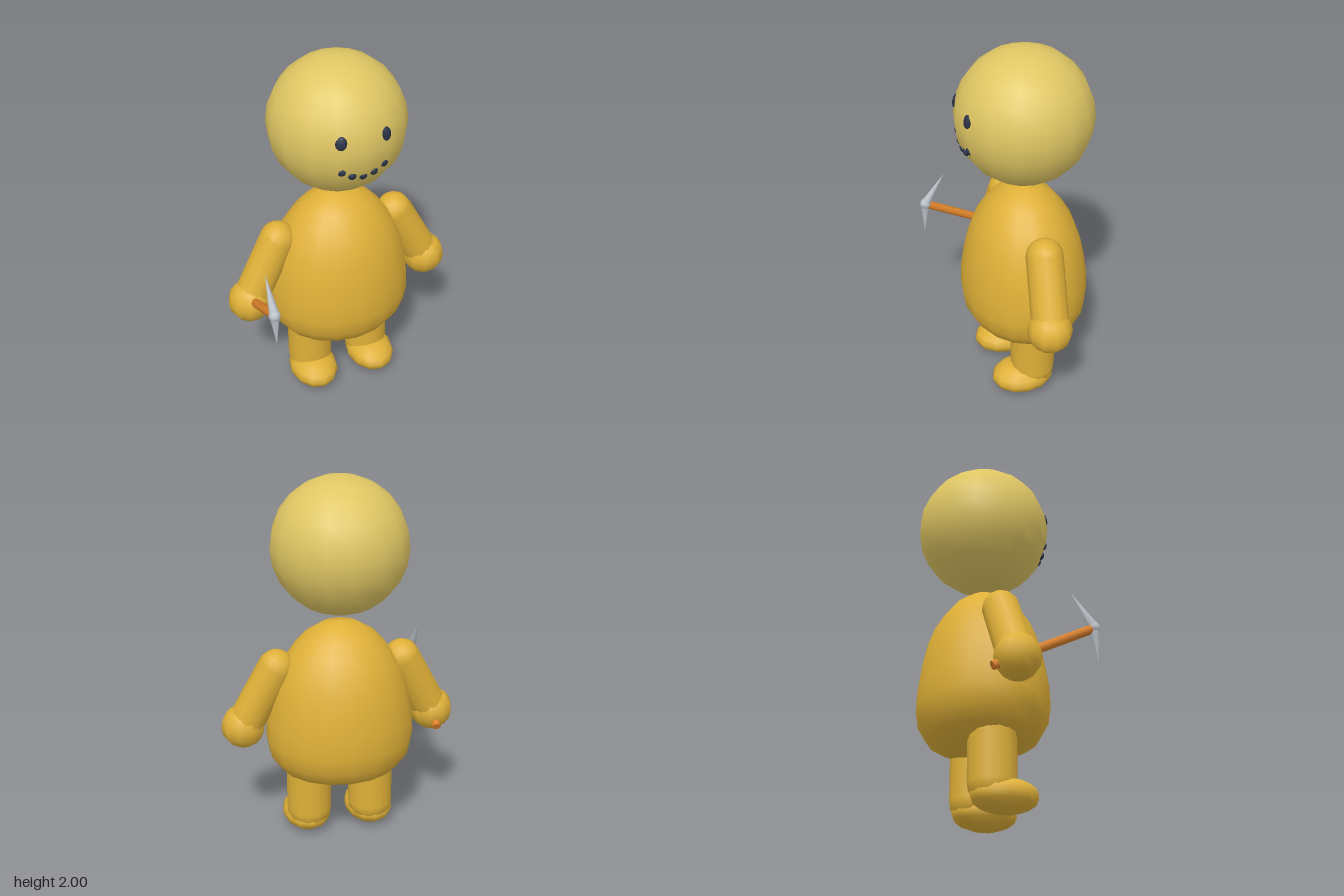
import * as THREE from 'three';

const mat = (name, color) => {
  const m = new THREE.MeshStandardMaterial({ color });
  m.name = name;
  return m;
};

export function createModel() {
  const root = new THREE.Group();
  root.name = 'figure';
  const amber = mat('amber', 0xdfb038);
  const paleYellow = mat('pale yellow', 0xdfc663);
  const navy = mat('dark navy', 0x2b3347);
  const wood = mat('orange wood', 0xdc822a);
  const steel = mat('steel', 0xbcc2ca);
  const up = new THREE.Vector3(0, 1, 0);
  const v = (x, y, z) => new THREE.Vector3(x, y, z);

  const add = (parent, name, geo, material, pos) => {
    const mesh = new THREE.Mesh(geo, material);
    mesh.name = name;
    mesh.position.copy(pos);
    parent.add(mesh);
    return mesh;
  };
  // Place an upright geometry so that it runs from a to b
  const between = (parent, name, makeGeo, material, a, b) => {
    const dir = b.clone().sub(a);
    const mesh = add(parent, name, makeGeo(dir.length()), material, a.clone().add(b).multiplyScalar(0.5));
    mesh.quaternion.setFromUnitVectors(up, dir.normalize());
    return mesh;
  };

  // Egg-shaped body
  const profile = [
    [0, 0.348], [0.12, 0.353], [0.22, 0.368], [0.33, 0.42], [0.385, 0.5], [0.4, 0.59], [0.395, 0.7],
    [0.376, 0.81], [0.348, 0.92], [0.305, 1.02], [0.25, 1.1], [0.185, 1.17], [0.1, 1.222], [0, 1.24],
  ].map(([r, y]) => new THREE.Vector2(r, y));
  add(root, 'body', new THREE.LatheGeometry(profile, 18), amber, v(0, 0, -0.045)).scale.z = 0.855;

  // Head
  const headPos = v(0, 1.643, -0.045);
  const headR = 0.357;
  add(root, 'head', new THREE.SphereGeometry(headR, 16, 12), paleYellow, headPos);

  // Eyes and smile: flattened beads lying on the front of the head
  const bead = (name, x, y, rx, ry) => {
    const dx = x - headPos.x, dy = y - headPos.y;
    const n = v(dx, dy, Math.sqrt(headR * headR - dx * dx - dy * dy)).normalize();
    const mesh = add(root, name, new THREE.SphereGeometry(1, 8, 6), navy,
      headPos.clone().addScaledVector(n, headR - 0.006));
    mesh.scale.set(rx, ry, 0.012);
    mesh.lookAt(mesh.position.clone().add(n));
  };
  for (const s of [-1, 1]) {
    bead('eye', s * 0.12, 1.715, 0.029, 0.036);
    bead('smileDot', s * 0.115, 1.545, 0.021, 0.021);
    bead('smileDot', s * 0.059, 1.512, 0.021, 0.021);
  }
  bead('smileDot', 0, 1.5, 0.021, 0.021);

  // Arms, hands, legs and feet
  for (const s of [-1, 1]) {
    const side = s > 0 ? 'left' : 'right';
    between(root, side + 'Arm', (l) => new THREE.CapsuleGeometry(0.097, l, 5, 12), amber,
      v(s * 0.34, 1.005, -0.047), v(s * 0.51, 0.69, -0.026));
    add(root, side + 'Hand', new THREE.SphereGeometry(0.118, 10, 8), amber, v(s * 0.52, 0.67, -0.02));
    between(root, side + 'Leg', (l) => new THREE.CapsuleGeometry(0.123, l, 5, 14), amber,
      v(s * 0.173, 0.15, -0.045), v(s * 0.173, 0.43, -0.045));
    add(root, side + 'Foot', new THREE.SphereGeometry(1, 12, 8), amber, v(s * 0.178, 0.09, 0.015))
      .scale.set(0.134, 0.088, 0.175);
  }

  // Pickaxe held in the right hand
  const pick = new THREE.Group();
  pick.name = 'pickaxe';
  root.add(pick);
  const hub = v(-0.52, 0.872, 0.375);
  between(pick, 'pickHandle', (l) => new THREE.CylinderGeometry(0.024, 0.024, l, 8), wood,
    v(-0.52, 0.61, -0.145), hub);
  add(pick, 'pickHub', new THREE.SphereGeometry(0.032, 8, 6), steel, hub);
  for (const tip of [v(-0.52, 1.05, 0.26), v(-0.52, 0.69, 0.388)])
    between(pick, 'pickPoint', (l) => new THREE.ConeGeometry(0.028, l, 8), steel, hub, tip);

  return root;
}
